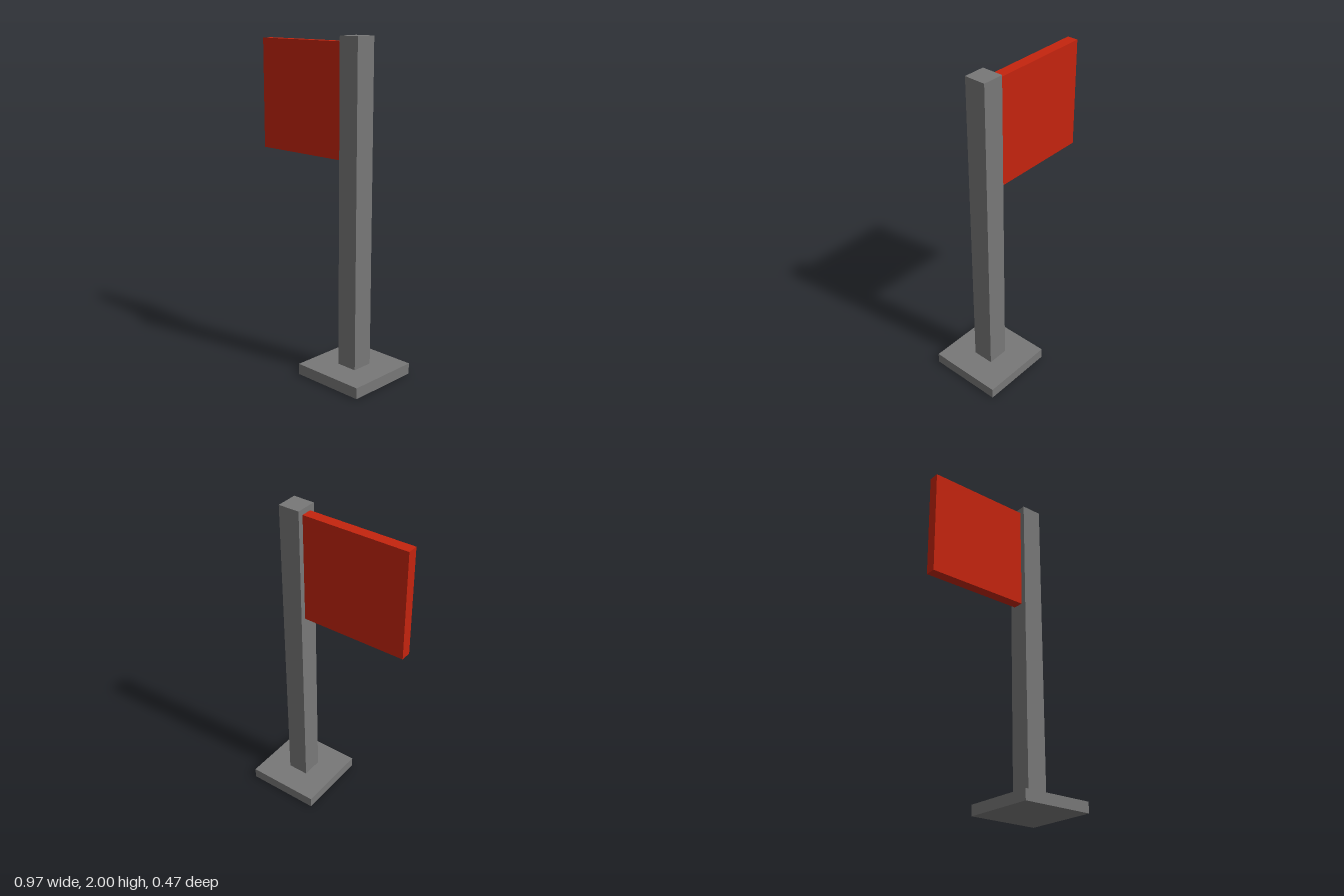
import * as THREE from 'three';

const U = 1 / 15; // modelling unit: base thickness

export function createModel() {
  const group = new THREE.Group();
  group.name = 'flagPost';

  const grey = new THREE.MeshStandardMaterial({ color: 0x787878 });
  grey.name = 'grey';
  const red = new THREE.MeshStandardMaterial({ color: 0xc4240e });
  red.name = 'red';

  // Box with size in units, centred on z = 0, with its underside at the given height
  const addBox = (name, material, [w, h, d], x, bottom) => {
    const mesh = new THREE.Mesh(new THREE.BoxGeometry(w * U, h * U, d * U), material);
    mesh.name = name;
    mesh.position.set(x * U, (bottom + h / 2) * U, 0);
    group.add(mesh);
  };

  const postX = 3.75;
  addBox('base', grey, [7, 1, 7], postX, 0);
  addBox('post', grey, [2, 29, 2], postX, 1);
  // Flag panel butts against the post's right side
  addBox('flag', red, [10, 10, 1], postX - 6, 19.5);

  return group;
}
